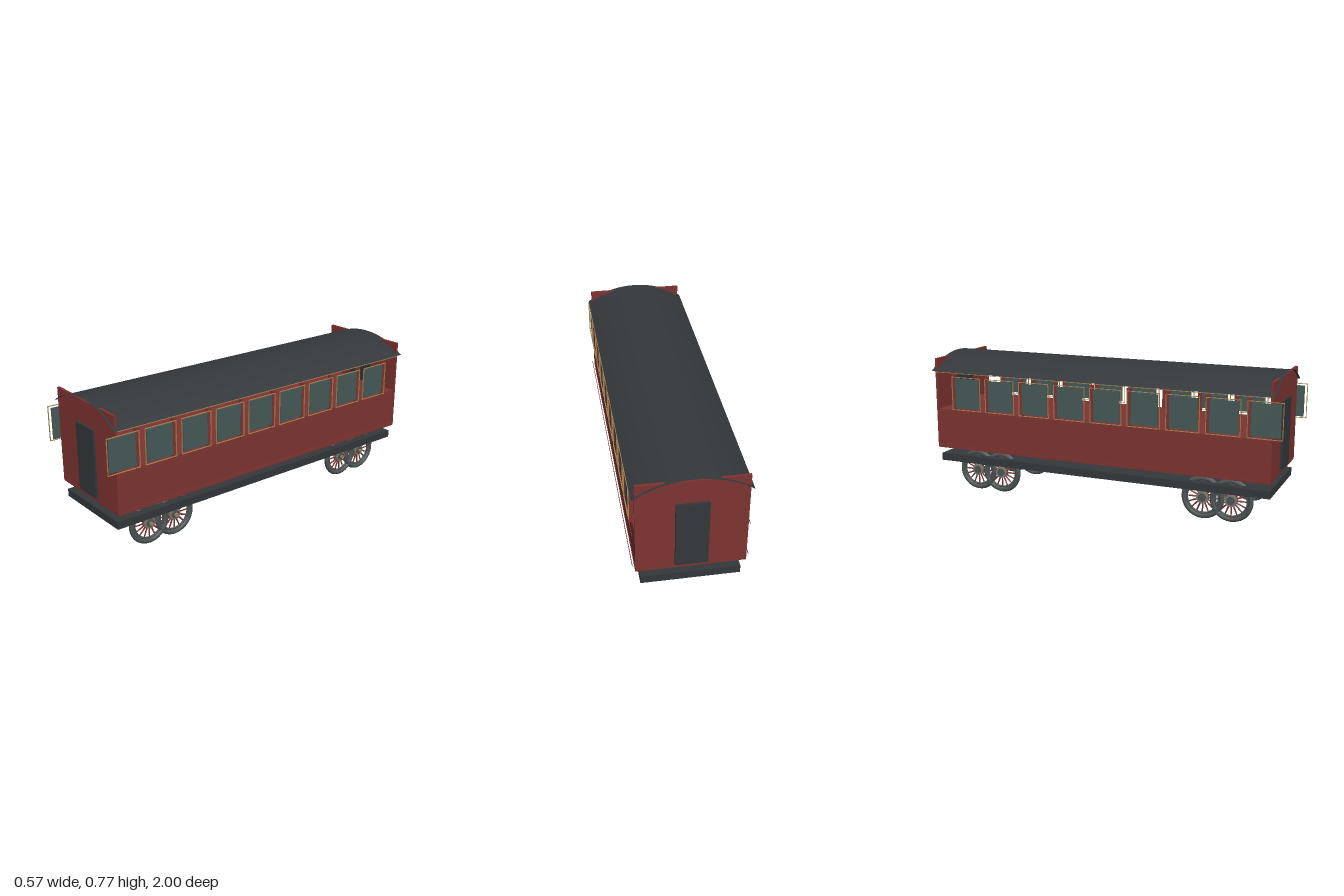
import * as THREE from 'three';

const mat = (color, extra = {}) => new THREE.MeshStandardMaterial({ color, ...extra });
const RED = mat(0x7d3431);
const DARK = mat(0x34383b, { side: THREE.DoubleSide });
const GLASS = mat(0x465a57);
const GOLD = mat(0xa8824f);
const STEEL = mat(0x4c5454);
const HUB = mat(0x7b7a72);

function add(parent, name, geometry, material, x = 0, y = 0, z = 0) {
  const mesh = new THREE.Mesh(geometry, material);
  mesh.name = name;
  mesh.position.set(x, y, z);
  parent.add(mesh);
  return mesh;
}

// Box given by its min and max on each axis
function box(parent, name, material, [x0, x1], [y0, y1], [z0, z1]) {
  return add(parent, name, new THREE.BoxGeometry(x1 - x0, y1 - y0, z1 - z0), material,
    (x0 + x1) / 2, (y0 + y1) / 2, (z0 + z1) / 2);
}

// Thin arched roof sheet, open underneath
function roofGeometry(halfWidth, edgeY, topY, z0, z1) {
  const rise = topY - edgeY;
  const r = (halfWidth ** 2 + rise ** 2) / (2 * rise);
  const half = Math.asin(halfWidth / r);
  const g = new THREE.PlaneGeometry(1, 1, 32, 1);
  const p = g.attributes.position;
  for (let i = 0; i < p.count; i++) {
    const a = p.getX(i) * 2 * half;
    p.setXYZ(i, r * Math.sin(a), topY - r + r * Math.cos(a), p.getY(i) > 0 ? z0 : z1);
  }
  g.computeVertexNormals();
  return g;
}

// Spoked wheel whose axle lies along x, outer face towards +x
function makeWheel() {
  const wheel = new THREE.Group();
  wheel.name = 'wheel';
  const disc = (name, r, length, material, x) =>
    add(wheel, name, new THREE.CylinderGeometry(r, r, length, 24), material, x).rotateZ(Math.PI / 2);

  add(wheel, 'tyre', new THREE.TorusGeometry(0.102, 0.0135, 10, 40), STEEL).rotateY(Math.PI / 2);
  const rim = add(wheel, 'rim', new THREE.TorusGeometry(0.086, 0.006, 6, 40), STEEL);
  rim.rotateY(Math.PI / 2);
  const spokes = 16;
  for (let i = 0; i < spokes; i++) {
    const a = (i / spokes) * Math.PI * 2;
    const spoke = add(wheel, 'spoke', new THREE.CylinderGeometry(0.0035, 0.005, 0.07, 6), RED,
      0, 0.055 * Math.cos(a), 0.055 * Math.sin(a));
    spoke.rotation.x = a;
  }
  disc('hub', 0.032, 0.028, HUB, -0.002);
  disc('hubFace', 0.022, 0.036, STEEL, 0.001);
  disc('axleCap', 0.01, 0.03, GOLD, 0.015);
  return wheel;
}

// Glass pane with a thin trim outline standing off around it
function makeWindow(side) {
  const w = new THREE.Group();
  w.name = 'window';
  const x = side * 0.28, t = 0.003, hw = 0.09, hh = 0.094;
  add(w, 'pane', new THREE.BoxGeometry(0.006, 0.168, 0.158), GLASS, side * 0.272, 0, -0.003);
  for (const s of [-1, 1]) {
    add(w, 'trimUpright', new THREE.BoxGeometry(0.006, hh * 2, t), GOLD, x, 0, s * (hw - t / 2));
    add(w, 'trimRail', new THREE.BoxGeometry(0.006, t, hw * 2), GOLD, x, s * (hh - t / 2), 0);
  }
  return w;
}

export function createModel() {
  const model = new THREE.Group();
  model.name = 'railwayCarriage';

  // Chassis and lower body
  box(model, 'chassis', DARK, [-0.243, 0.243], [0.162, 0.203], [-0.977, 0.94]);
  box(model, 'floor', RED, [-0.267, 0.267], [0.245, 0.258], [-0.977, 0.94]);
  box(model, 'lowerBody', RED, [-0.265, 0.265], [0.258, 0.468], [-0.975, 0.938]);

  // Flat end walls with a door each
  for (const [z, outer] of [[0.938, 0.957], [-0.975, -0.995]]) {
    box(model, 'endWall', RED, [-0.267, 0.267], [0.246, 0.756], [z - 0.007, z + 0.007]);
    const inner = z - (outer - z);
    box(model, 'door', DARK, [-0.08, 0.08], [0.27, 0.632],
      [Math.min(inner, outer), Math.max(inner, outer)]);
  }

  // Roof
  add(model, 'roof', roofGeometry(0.283, 0.685, 0.773, -0.995, 0.957), DARK);

  // Window posts, windows and side mouldings
  const pitch = 0.211;
  for (const side of [-1, 1]) {
    for (let i = 0; i < 9; i++) {
      add(model, 'windowPost', new THREE.BoxGeometry(0.02, 0.218, 0.02), RED,
        side * 0.267, 0.564, 0.827 - i * pitch);
      const w = makeWindow(side);
      w.position.set(0, 0.567, 0.91 - i * pitch);
      model.add(w);
    }
    for (const y of [0.27, 0.46, 0.681]) {
      add(model, 'moulding', new THREE.BoxGeometry(0.003, 0.003, 1.9), y > 0.6 ? GOLD : RED,
        side * 0.279, y, -0.019);
    }
  }

  // Two wheel pairs per bogie, on both sides
  for (const z of [0.73, 0.577, -0.613, -0.765]) {
    for (const x of [-0.192, 0.192]) {
      const wheel = makeWheel();
      wheel.position.set(x, 0.1165, z);
      model.add(wheel);
    }
  }
  return model;
}
